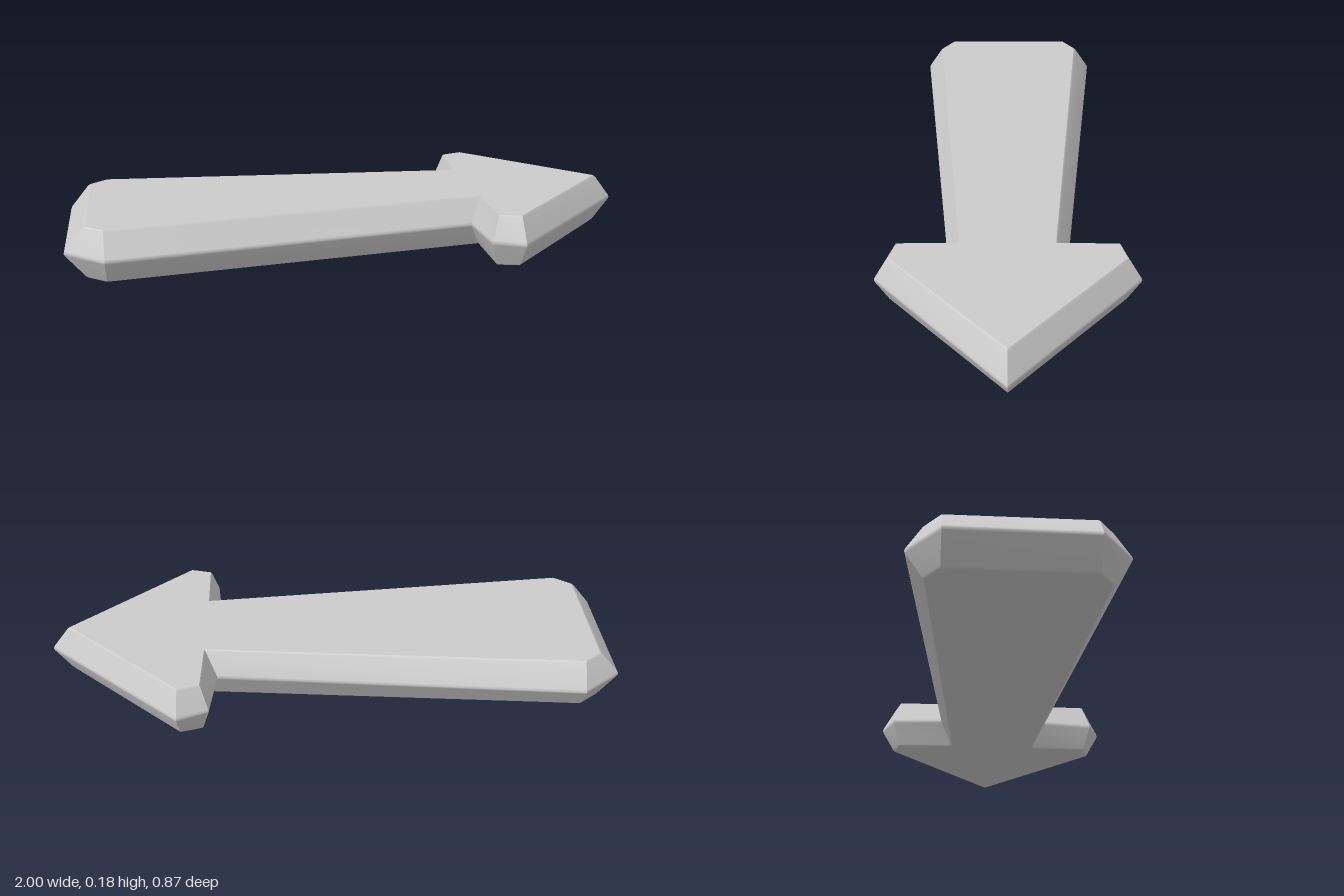
import * as THREE from 'three';

// Half outline from tip to tail: widest x, z at mid height, then x, z of the flat faces
const HALF = [
  [1, 0, 0.93, 0],
  [0.525, 0.437, 0.52, 0.385],
  [0.42, 0.392, 0.447, 0.365],
  [0.4, 0.203, 0.443, 0.157],
  [-0.865, 0.336, -0.865, 0.276],
  [-1, 0.23, -0.925, 0.23],
];
const MIRROR = HALF.slice(1).reverse().map(([x, z, ix, iz]) => [x, -z, ix, -iz]);
const OUTLINE = [...HALF, ...MIRROR];

// Bevel section: height and how far it reaches towards the widest outline
const HEIGHT = 0.181;
const LOWER = [[0, 0], [0.006, 0.12], [0.082, 0.95]];
const SECTION = [
  ...LOWER,
  [HEIGHT / 2, 1],
  ...LOWER.map(([y, t]) => [HEIGHT - y, t]).reverse(),
];

// One bevelled strip per outline edge: smooth vertically, sharp at the corners
function bevelStrips() {
  const positions = [], index = [];
  const rows = SECTION.length;
  OUTLINE.forEach((a, i) => {
    const b = OUTLINE[(i + 1) % OUTLINE.length];
    const base = positions.length / 3;
    for (const [y, t] of SECTION) {
      for (const [x, z, ix, iz] of [a, b]) {
        positions.push(ix + (x - ix) * t, y, iz + (z - iz) * t);
      }
    }
    for (let r = 0; r < rows - 1; r++) {
      const k = base + r * 2;
      index.push(k, k + 2, k + 3, k, k + 3, k + 1);
    }
  });
  const geometry = new THREE.BufferGeometry();
  geometry.setAttribute('position', new THREE.Float32BufferAttribute(positions, 3));
  geometry.setIndex(index);
  geometry.computeVertexNormals();
  return geometry;
}

// Flat arrow face, turned up or down
function face(y, turn) {
  const shape = new THREE.Shape(OUTLINE.map(([, , x, z]) => new THREE.Vector2(x, z)));
  return new THREE.ShapeGeometry(shape).rotateX(turn).translate(0, y, 0);
}

export function createModel() {
  const group = new THREE.Group();
  group.name = 'arrow';
  const material = new THREE.MeshStandardMaterial({ color: 0xcccccc });
  const add = (name, geometry) => {
    const mesh = new THREE.Mesh(geometry, material);
    mesh.name = name;
    group.add(mesh);
  };
  add('bevelledSides', bevelStrips());
  add('topFace', face(HEIGHT, -Math.PI / 2));
  add('bottomFace', face(0, Math.PI / 2));
  return group;
}
